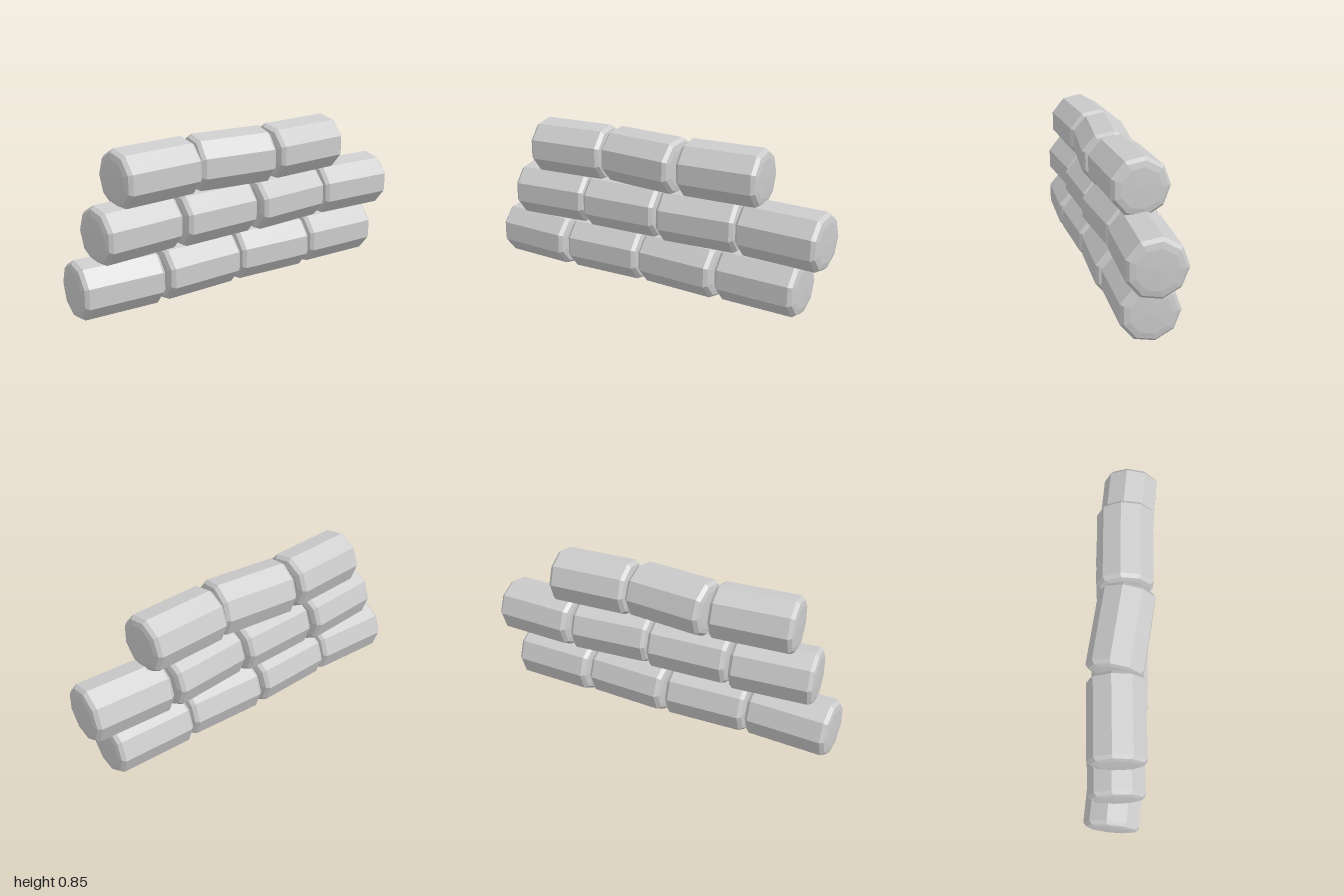
import * as THREE from 'three';

export function createModel() {
  const group = new THREE.Group();
  const material = new THREE.MeshStandardMaterial({ color: 0xcccccc, flatShading: true });

  // One nine-sided bag: half profile (radius, distance along the axis), mirrored
  const half = [[0, 0.231], [0.107, 0.228], [0.139, 0.222], [0.156, 0.203]];
  const profile = [
    ...half.map(([r, d]) => new THREE.Vector2(r, -d)),
    ...[...half].reverse().map(([r, d]) => new THREE.Vector2(r, d)),
  ];
  // Lay the axis along x, with a ridge at the back and a flat at the front
  const bag = new THREE.LatheGeometry(profile, 9, Math.PI).rotateZ(-Math.PI / 2);

  // Staggered rows: height, first centre and the small turn of each bag
  const rows = [
    { name: 'bottomBag', y: 0.156, x: -0.77, turns: [-0.05, 0.03, -0.05, -0.03] },
    { name: 'middleBag', y: 0.427, x: -0.657, turns: [0.07, 0.03, 0.07, -0.05] },
    { name: 'topBag', y: 0.698, x: -0.535, turns: [0.06, -0.11, 0.04] },
  ];
  const pitch = 0.474;

  for (const row of rows) {
    row.turns.forEach((turn, i) => {
      const mesh = new THREE.Mesh(bag, material);
      mesh.name = `${row.name}${i + 1}`;
      mesh.position.set(row.x + i * pitch, row.y, 0.004);
      mesh.rotation.y = turn;
      group.add(mesh);
    });
  }
  return group;
}
